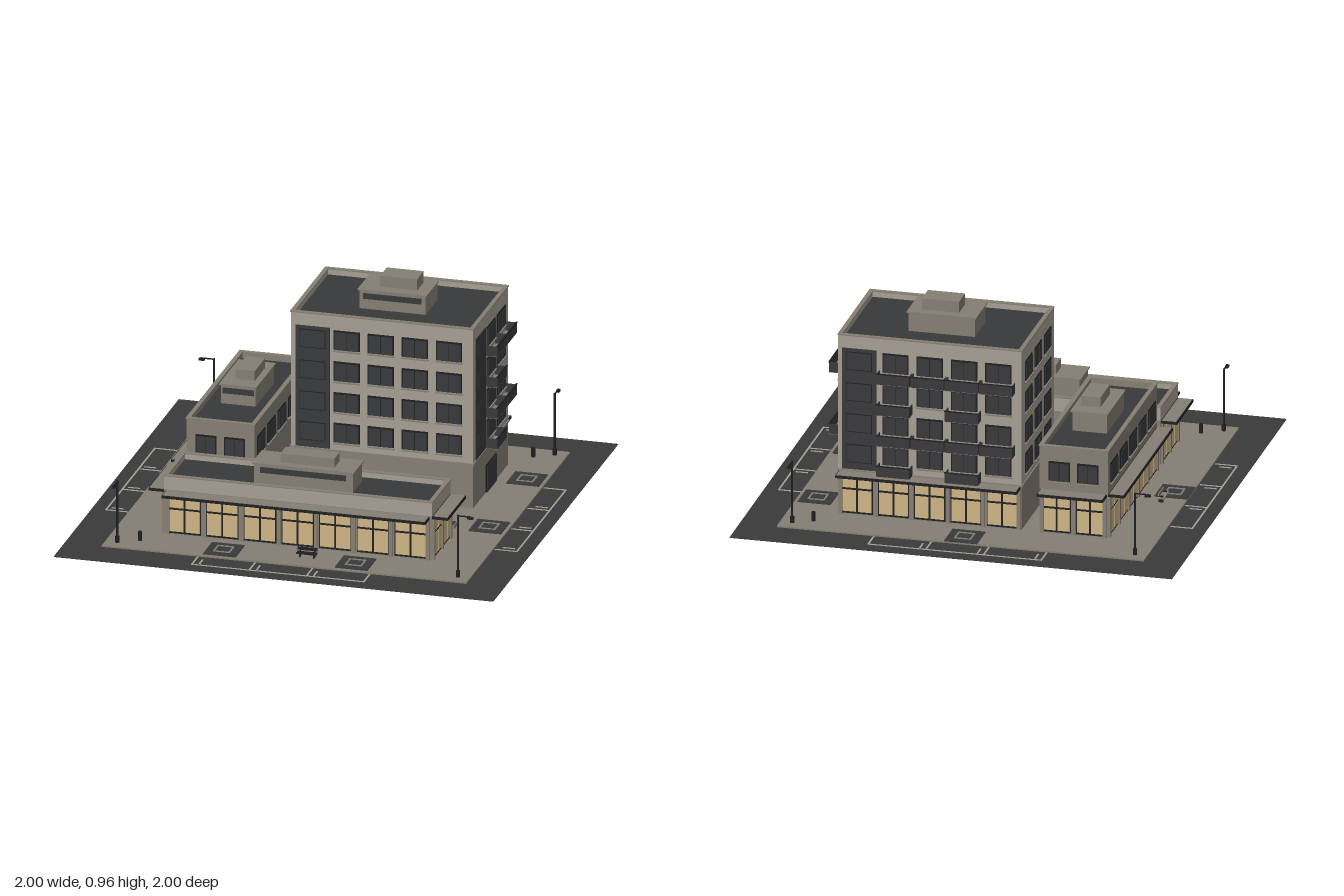
import * as THREE from 'three';

const mat = (name, color) => {
  const m = new THREE.MeshStandardMaterial({ color });
  m.name = name;
  return m;
};

export function createModel() {
  const asphalt = mat('asphalt', 0x3a3a3a), concrete = mat('concrete', 0x857e73);
  const plaster = mat('pale plaster', 0xa69e92), black = mat('black metal', 0x1e1f21);
  const dark = mat('dark glass', 0x38393b), warm = mat('lit glass', 0xcdb483);
  const paint = mat('road paint', 0xa9a294);

  const model = new THREE.Group();
  model.name = 'cityBlock';
  const group = (name, parent = model) => {
    const g = new THREE.Group();
    g.name = name;
    parent.add(g);
    return g;
  };
  // box given by centre x, bottom y, centre z and its size
  const box = (parent, name, m, x, y, z, w, h, d) => {
    const b = new THREE.Mesh(new THREE.BoxGeometry(w, h, d), m);
    b.position.set(x, y + h / 2, z);
    b.name = name;
    parent.add(b);
    return b;
  };
  const tube = (parent, name, m, x, y, z, r, h) => {
    const c = new THREE.Mesh(new THREE.CylinderGeometry(r, r, h, 10), m);
    c.position.set(x, y + h / 2, z);
    c.name = name;
    parent.add(c);
  };
  // open rectangle of four bars lying flat
  const ring = (parent, name, m, x, y, z, w, d, t, h) => {
    for (const s of [-1, 1]) {
      box(parent, name, m, x, y, z + s * (d - t) / 2, w, h, t);
      box(parent, name, m, x + s * (w - t) / 2, y, z, t, h, d - 2 * t);
    }
  };

  // ---- ground ----
  box(model, 'road', asphalt, 0, 0, 0, 2, 0.003, 2);
  box(model, 'pavement', concrete, 0, 0.003, 0, 1.66, 0.007, 1.66);

  // parking bays on all four sides, drawn along local x
  for (let i = 0; i < 4; i++) {
    const g = group('parkingBays');
    g.rotation.y = i * Math.PI / 2;
    for (const z of i % 2 ? [0.935] : [0.93]) box(g, 'bayLine', paint, 0, 0.003, z, 0.79, 0.002, 0.008);
    for (let k = 0; k < 4; k++) box(g, 'bayLine', paint, -0.391 + k * 0.2607, 0.003, 0.884, 0.008, 0.002, 0.1);
    const s = i === 0 || i === 2 ? (i === 0 ? -1 : 1) : (i === 1 ? -1 : 1);
    for (let k = -1; k <= 1; k++) box(g, 'bayMark', paint, k * 0.2607 + s * 0.1, 0.003, 0.89, 0.008, 0.002, 0.055);
  }

  // paved squares with a light ring
  for (const [x, z] of [[0, -0.755], [0.74, -0.455], [-0.755, 0], [0.74, 0.15], [-0.3, 0.74], [0.3, 0.74]]) {
    const g = group('treeGrate');
    box(g, 'grate', dark, x, 0.01, z, 0.148, 0.004, 0.148);
    ring(g, 'grateRing', concrete, x, 0.014, z, 0.078, 0.078, 0.008, 0.003);
  }

  // street lamps, arms pointing outwards in turn
  for (let i = 0; i < 4; i++) {
    const g = group('streetLamp');
    g.rotation.y = i * Math.PI / 2;
    tube(g, 'lampBase', black, -0.775, 0.01, 0.775, 0.009, 0.03);
    tube(g, 'lampPole', black, -0.775, 0.01, 0.775, 0.0045, 0.29);
    box(g, 'lampArm', black, -0.775, 0.294, 0.805, 0.005, 0.005, 0.065);
    box(g, 'lampHead', black, -0.775, 0.286, 0.832, 0.014, 0.009, 0.026);
  }

  // benches, bins and courtyard planter
  const bench = (x, z, turn, seat) => {
    const g = group('bench');
    g.position.set(x, 0, z);
    g.rotation.y = turn;
    box(g, 'benchSeat', seat, 0, 0.028, 0, 0.09, 0.006, 0.026);
    box(g, 'benchBack', seat, 0, 0.04, -0.012, 0.09, 0.014, 0.004);
    for (const s of [-1, 1]) box(g, 'benchLeg', black, s * 0.032, 0.01, -0.004, 0.005, 0.03, 0.02);
  };
  bench(0.075, 0.73, 0, black);
  bench(-0.73, -0.1, -Math.PI / 2, concrete);
  for (const [x, z] of [[-0.685, 0.725], [0.69, -0.73]]) tube(model, 'bin', black, x, 0.01, z, 0.009, 0.042);
  box(model, 'planter', concrete, 0.2, 0.01, 0.195, 0.8, 0.018, 0.045);
  box(model, 'planterBed', dark, 0.2, 0.028, 0.195, 0.792, 0.003, 0.037);

  // ---- facade pieces; local x runs along the wall, +z points out ----
  const windowUnit = (f, x, y, w = 0.11, h = 0.082) => {
    box(f, 'windowFrame', black, x, y - h / 2, 0.002, w + 0.008, h + 0.008, 0.004);
    for (const s of [-1, 1]) box(f, 'windowPane', dark, x + s * w / 4, y - h / 2, 0.004, w / 2 - 0.003, h, 0.005);
    box(f, 'windowSill', concrete, x, y - h / 2 - 0.009, 0.005, w + 0.012, 0.005, 0.01);
  };
  const shopfront = (f, width, bays) => {
    const pitch = width / bays, w = pitch - 0.024;
    for (let i = 0; i < bays; i++) {
      const x = (i - (bays - 1) / 2) * pitch;
      box(f, 'shopFrame', black, x, 0.015, 0.002, w, 0.182, 0.004);
      for (const s of [-1, 1]) {
        box(f, 'shopPane', warm, x + s * w / 4, 0.024, 0.004, w / 2 - 0.009, 0.101, 0.004);
        box(f, 'shopTransomPane', warm, x + s * w / 4, 0.135, 0.004, w / 2 - 0.009, 0.056, 0.004);
      }
    }
    for (let i = 0; i <= bays; i++) {
      const x = (i - bays / 2) * pitch;
      box(f, 'shopPier', concrete, x * (1 - 0.016 / width), 0.01, 0.005, 0.016, 0.19, 0.01);
    }
    box(f, 'canopy', black, 0, 0.2, 0.036, width, 0.012, 0.072);
    box(f, 'canopyTop', concrete, 0, 0.212, 0.036, width - 0.008, 0.002, 0.064);
  };
  const balcony = (f, x, y) => {
    const g = group('balcony', f);
    box(g, 'balconyFloor', concrete, x, y, 0.026, 0.15, 0.006, 0.052);
    box(g, 'balconyFront', dark, x, y + 0.002, 0.05, 0.15, 0.046, 0.005);
    for (const s of [-1, 1]) box(g, 'balconySide', dark, x + s * 0.0735, y + 0.002, 0.024, 0.004, 0.046, 0.048);
    box(g, 'balconyRail', black, x, y + 0.048, 0.051, 0.156, 0.004, 0.007);
  };
  const entrance = (f, x) => {
    box(f, 'doorFrame', black, x, 0.01, 0.002, 0.16, 0.128, 0.004);
    box(f, 'door', dark, x, 0.01, 0.004, 0.15, 0.122, 0.005);
  };

  // ---- building shell with parapet and rooftop hut ----
  const building = (name, x, z, w, d, h, upper, hut, hutTop) => {
    const g = group(name);
    g.position.set(x, 0, z);
    const top = h - 0.032;
    box(g, 'groundFloor', concrete, 0, 0.008, 0, w, 0.207, d);
    box(g, 'upperWalls', upper, 0, 0.215, 0, w, top - 0.215, d);
    box(g, 'roof', dark, 0, top, 0, w - 0.024, 0.002, d - 0.024);
    ring(g, 'parapet', upper, 0, top, 0, w, d, 0.014, 0.028);
    ring(g, 'parapetCap', concrete, 0, h - 0.005, 0, w + 0.006, d + 0.006, 0.02, 0.005);
    if (upper === plaster && h > 0.5) ring(g, 'floorBand', concrete, 0, 0.211, 0, w + 0.01, d + 0.01, 0.012, 0.008);
    const [hx, hz, hw, hd, hh] = hut, [tx, tz, tw, td, th] = hutTop;
    box(g, 'roofHut', concrete, hx - x, top, hz - z, hw - 0.014, hh - top - 0.006, hd - 0.014);
    box(g, 'roofHutCap', concrete, hx - x, hh - 0.006, hz - z, hw, 0.006, hd);
    box(g, 'roofHutWindow', dark, hx - x, hh - 0.045, hz - z + hd / 2 - 0.006, hw * 0.84, 0.026, 0.006);
    box(g, 'roofHutTop', concrete, tx - x, hh, tz - z, tw, th - hh, td);
    const face = (side, turn, out) => {
      const f = group(side + 'Facade', g);
      f.rotation.y = turn;
      f.position.set(Math.sin(turn) * out, 0, Math.cos(turn) * out);
      return f;
    };
    return {
      front: face('front', 0, d / 2), left: face('left', Math.PI / 2, w / 2),
      back: face('back', Math.PI, d / 2), right: face('right', -Math.PI / 2, w / 2),
    };
  };

  // low shop row at the front
  const shops = building('shopRow', 0, 0.46, 1.22, 0.3, 0.282, plaster,
    [0, 0.45, 0.465, 0.16, 0.35], [0.01, 0.45, 0.245, 0.085, 0.392]);
  shopfront(shops.front, 1.2, 7);
  shopfront(shops.left, 0.29, 2);
  shopfront(shops.right, 0.29, 2);

  // two-storey wing
  const wing = building('sideWing', -0.455, -0.18, 0.31, 0.86, 0.418, concrete,
    [-0.455, -0.185, 0.17, 0.31, 0.482], [-0.443, -0.185, 0.088, 0.165, 0.528]);
  shopfront(wing.right, 0.85, 5);
  shopfront(wing.back, 0.3, 2);
  for (const [f, n, p] of [[wing.front, 2, 0.13], [wing.back, 2, 0.13], [wing.left, 5, 0.165], [wing.right, 5, 0.165]])
    for (let i = 0; i < n; i++) windowUnit(f, (i - (n - 1) / 2) * p, 0.297, n === 2 ? 0.088 : 0.115);

  // apartment tower
  const tower = building('tower', 0.195, -0.33, 0.83, 0.56, 0.85, plaster,
    [0.19, -0.33, 0.315, 0.2, 0.912], [0.205, -0.335, 0.168, 0.105, 0.964]);
  shopfront(tower.back, 0.82, 5);
  entrance(tower.left, 0);
  entrance(tower.front, -0.05);
  const rows = [0.73, 0.585, 0.44, 0.297];
  const stairStrip = (f, x) => {
    box(f, 'stairStrip', dark, x, 0.222, 0.002, 0.155, 0.566, 0.004);
    for (const y of rows) {
      box(f, 'stairFrame', black, x, y - 0.043, 0.004, 0.118, 0.086, 0.004);
      box(f, 'stairPane', dark, x, y - 0.039, 0.006, 0.11, 0.078, 0.004);
    }
  };
  const columns = { front: [-0.16, -0.005, 0.15, 0.305], back: [-0.155, 0, 0.155, 0.31], left: [0, 0.163], right: [-0.165, 0, 0.165] };
  stairStrip(tower.front, -0.315);
  stairStrip(tower.back, -0.32);
  stairStrip(tower.left, -0.168);
  for (const side in columns)
    columns[side].forEach((x, c) => rows.forEach((y, r) => {
      windowUnit(tower[side], x, y, side === 'left' ? 0.125 : 0.11);
      if ((side === 'back' || side === 'left') && (r % 2 === 0 || c % 2 === 0)) balcony(tower[side], x, y - 0.082);
    }));

  return model;
}
